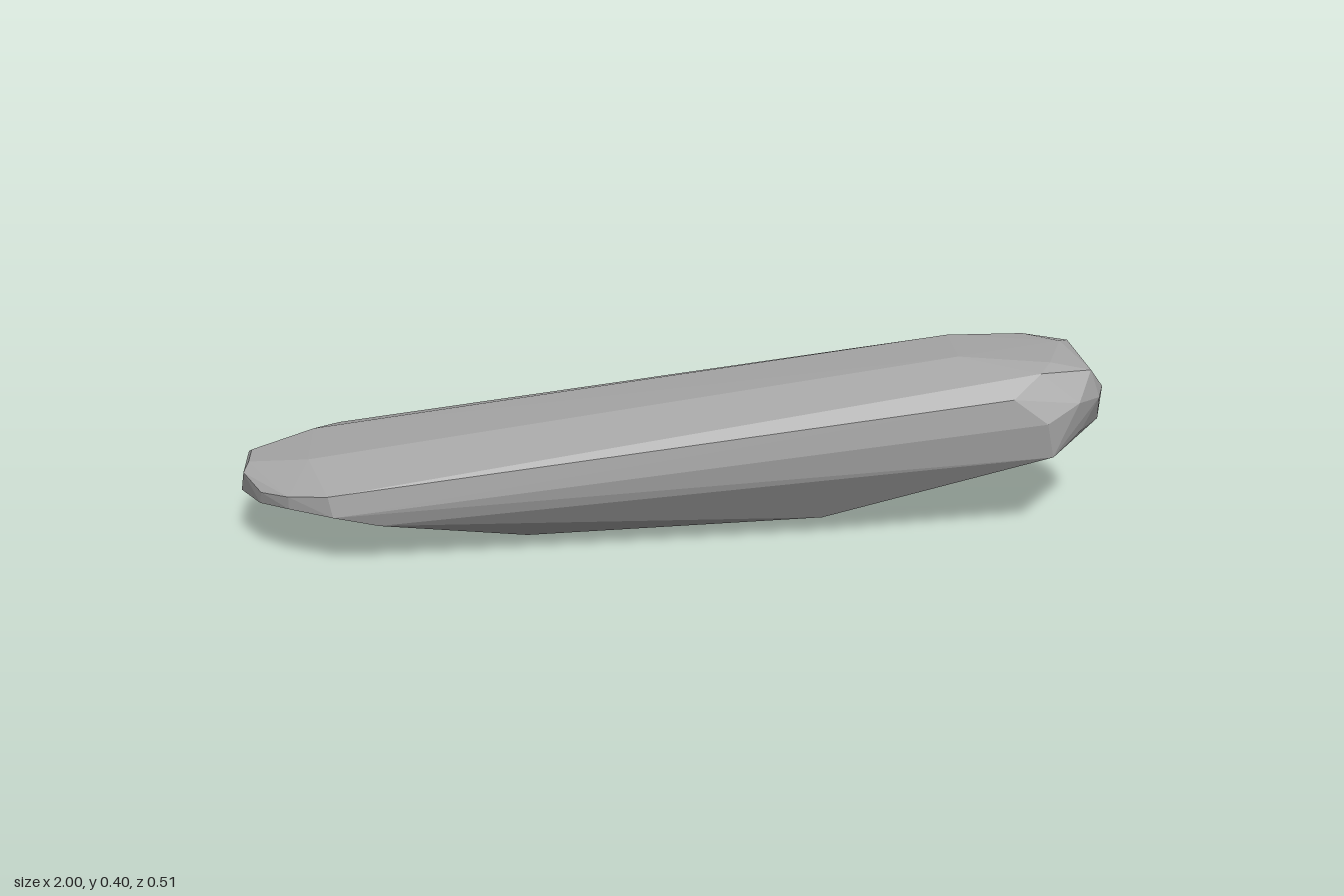
import * as THREE from 'three';
import { ConvexGeometry } from 'three/addons/geometries/ConvexGeometry.js';

export function createModel() {
  const grey = new THREE.MeshStandardMaterial({ color: 0xa6a6a6 });
  grey.name = 'stone grey';
  const points = [];
  const add = (x, y, z) => points.push(new THREE.Vector3(x, y, z));
  const pair = (x, y, z) => { add(x, y, z); add(x, y, -z); };

  // Low, thin end
  [
    [-1, 0.12, 0.035], [-0.99, 0.175, 0.07], [-0.98, 0.19, 0.04],
    [-0.945, 0.155, 0.148], [-0.95, 0.125, 0.135], [-0.88, 0.135, 0.205],
    [-0.88, 0.165, 0.208], [-0.84, 0.215, 0.105],
    [-0.79, 0.178, 0.25], [-0.78, 0.13, 0.255], [-0.68, 0.102, 0.24],
  ].forEach((p) => pair(...p));

  // Keel
  add(-0.37, 0.003, 0);
  pair(-0.35, 0.035, 0.155);
  pair(0.33, 0.046, 0.13);

  // High, rounded end
  [
    [0.85, 0.2, 0.19], [0.83, 0.285, 0.205], [0.93, 0.24, 0.12],
    [0.91, 0.32, 0.165], [0.97, 0.315, 0.11], [0.99, 0.235, 0.03],
    [0.945, 0.383, 0.115],
  ].forEach((p) => pair(...p));
  add(0.99, 0.2, -0.048);
  add(1, 0.285, -0.035);
  add(0.99, 0.323, 0.055);

  // Slightly uneven top edges
  add(0.75, 0.345, 0.202);
  add(0.83, 0.32, -0.205);
  add(0.82, 0.39, 0.155);
  add(0.66, 0.396, -0.137);
  add(0.84, 0.396, -0.135);
  add(0.65, 0.402, 0.05);
  add(0.85, 0.402, 0.11);
  add(0.91, 0.402, -0.05);

  const body = new THREE.Mesh(new ConvexGeometry(points), grey);
  body.name = 'facetedBody';
  const group = new THREE.Group();
  group.name = 'facetedBar';
  group.add(body);
  return group;
}
